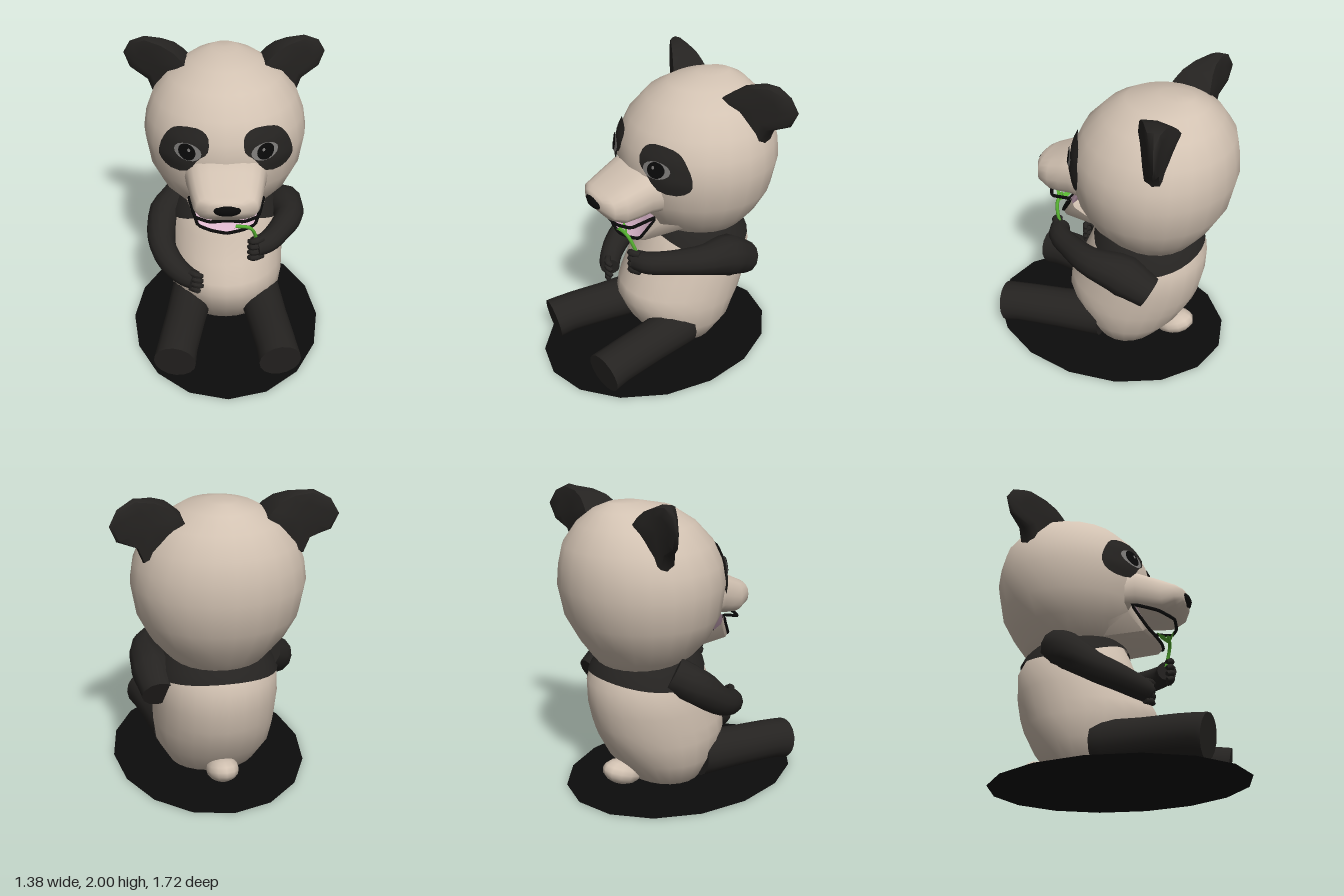
import * as THREE from 'three';
import { toCreasedNormals } from 'three/addons/utils/BufferGeometryUtils.js';

const V = (x, y, z) => new THREE.Vector3(x, y, z);
const mat = (color) => new THREE.MeshStandardMaterial({ color, side: THREE.DoubleSide });
const cream = mat(0xd2c2b2), black = mat(0x252321), shadow = mat(0x0c0c0c), pink = mat(0xdcb6cc);
const grey = mat(0x7c7a78), dark = mat(0x0a0a0a), green = mat(0x55b030);

// Skin a list of equal-length point rows; rows may be closed rings with capped ends
function loft(rows, { closed = true, start = true, end = true } = {}) {
  const n = rows[0].length, pos = [], idx = [];
  rows.forEach((r) => r.forEach((p) => pos.push(p.x, p.y, p.z)));
  for (let i = 0; i < rows.length - 1; i++)
    for (let j = 0; j < (closed ? n : n - 1); j++) {
      const a = i * n + j, b = i * n + ((j + 1) % n);
      idx.push(a, b, a + n, b, b + n, a + n);
    }
  const cap = (i, flip) => {
    const c = rows[i].reduce((s, p) => s.add(p), V(0, 0, 0)).divideScalar(n), k = pos.length / 3;
    pos.push(c.x, c.y, c.z);
    for (let j = 0; j < n; j++) {
      const a = i * n + j, b = i * n + ((j + 1) % n);
      idx.push(...(flip ? [b, a, k] : [a, b, k]));
    }
  };
  if (closed && start) cap(0, true);
  if (closed && end) cap(rows.length - 1, false);
  const g = new THREE.BufferGeometry();
  g.setAttribute('position', new THREE.Float32BufferAttribute(pos, 3));
  g.setIndex(idx);
  return toCreasedNormals(g, 1.0);
}

// Horizontal sections: [y, half width, front z, back z]
const HEAD = [[0.87, 0.27, -0.1, -0.6], [0.96, 0.36, 0.03, -0.67], [1.06, 0.445, 0.12, -0.74],
  [1.21, 0.52, 0.19, -0.82], [1.42, 0.555, 0.22, -0.86], [1.55, 0.535, 0.2, -0.85], [1.68, 0.485, 0.14, -0.825],
  [1.81, 0.38, 0.02, -0.74], [1.9, 0.23, -0.12, -0.65], [1.945, 0.09, -0.33, -0.56]];
const BODY = [[0.01, 0.1, -0.05, -0.3], [0.05, 0.3, 0.08, -0.42], [0.22, 0.395, 0.2, -0.55],
  [0.38, 0.415, 0.27, -0.635], [0.47, 0.415, 0.255, -0.665], [0.6, 0.415, 0.185, -0.69],
  [0.76, 0.4, 0.12, -0.695], [0.87, 0.36, 0.08, -0.64], [0.97, 0.28, 0.03, -0.55]];

function section(rings, y) {
  let i = 0;
  while (i < rings.length - 2 && rings[i + 1][0] < y) i++;
  const t = (y - rings[i][0]) / (rings[i + 1][0] - rings[i][0]);
  return rings[i].map((v, k) => v + (rings[i + 1][k] - v) * t);
}
function surfacePoint(rings, a, y, grow = 0) {
  const [, w, f, b] = section(rings, y), c = f * 0.48 + b * 0.52, cz = Math.cos(a);
  return V((w + grow) * Math.sin(a), y, c + cz * (cz > 0 ? f - c + grow : c - b + grow));
}
const angles = (n) => Array.from({ length: n }, (_, j) => (j / n) * Math.PI * 2);
const blob = (rings) => loft(rings.map(([y]) => angles(24).map((a) => surfacePoint(rings, a, y))));

// Limb along a path of [x, y, z, radius]
function limb(pts, steps = 12, sides = 12) {
  const curve = new THREE.CatmullRomCurve3(pts.map((p) => V(p[0], p[1], p[2])));
  const rows = [];
  for (let i = 0; i <= steps; i++) {
    const u = i / steps, f = u * (pts.length - 1), k = Math.min(Math.floor(f), pts.length - 2);
    const r = THREE.MathUtils.lerp(pts[k][3], pts[k + 1][3], f - k);
    const t = curve.getTangent(u), s = V(0, 1, 0).cross(t).normalize(), n = t.clone().cross(s);
    rows.push(angles(sides).map((a) => curve.getPoint(u)
      .addScaledVector(s, r * Math.cos(a)).addScaledVector(n, r * Math.sin(a))));
  }
  return loft(rows);
}

// Patch laid on the front of the head, outline counter-clockwise in x, y
function facePatch(outline, lift) {
  const c = outline.reduce((s, p) => [s[0] + p[0] / outline.length, s[1] + p[1] / outline.length], [0, 0]);
  return loft([1, 0.75, 0.5, 0.25].map((k) => outline.map(([px, py]) => {
    const x = c[0] + (px - c[0]) * k, y = c[1] + (py - c[1]) * k;
    const w = section(HEAD, y)[1];
    return surfacePoint(HEAD, Math.asin(x / w), y).add(V(lift * 0.4, 0, lift));
  })), { start: false });
}
const oval = (x, y, rx, ry, n = 16) => angles(n).map((a) => [x + rx * Math.cos(a), y + ry * Math.sin(a)]);

export function createModel() {
  const model = new THREE.Group();
  const add = (name, geo, m, parent = model) => {
    const mesh = new THREE.Mesh(geo, m);
    mesh.name = name;
    parent.add(mesh);
    return mesh;
  };

  // Ground disc
  const disc = add('groundDisc', new THREE.CircleGeometry(1, 16), shadow);
  disc.rotation.x = -Math.PI / 2;
  disc.scale.set(0.675, 0.86, 1);

  // Torso, shoulder band and tail
  add('torso', blob(BODY), cream);
  const bandLow = (a) => 0.83 + 0.1 * Math.max(0, Math.cos(a)) ** 2 - 0.05 * Math.sin(a) ** 2;
  add('shoulderBand', loft([0, 0.35, 0.7, 1].map((t) => angles(32).map((a) =>
    surfacePoint(BODY, a, THREE.MathUtils.lerp(bandLow(a), 0.97, t), 0.015))), { start: false }), black);
  const tail = add('tail', new THREE.SphereGeometry(1, 12, 8), cream);
  tail.scale.set(0.11, 0.085, 0.15);
  tail.position.set(0, 0.115, -0.51);
  tail.rotation.x = 0.35;

  // Head and muzzle
  add('head', blob(HEAD), cream);
  const pow = (v) => Math.sign(v) * Math.abs(v) ** 0.7;
  const muzzle = [[0, 0.3, 1.45, 1.13], [0.19, 0.255, 1.44, 1.13], [0.27, 0.24, 1.405, 1.115], [0.36, 0.22, 1.365, 1.105],
    [0.44, 0.195, 1.325, 1.15], [0.48, 0.12, 1.31, 1.2], [0.495, 0.06, 1.295, 1.22]];
  add('muzzle', loft(muzzle.map(([z, w, t, b]) => angles(20).map((a) =>
    V(w * pow(Math.cos(a)), (t + b) / 2 + ((t - b) / 2) * pow(Math.sin(a)), z)))), cream);
  const nose = add('nose', new THREE.SphereGeometry(1, 10, 8), dark);
  nose.scale.set(0.1, 0.047, 0.05);
  nose.position.set(0, 1.252, 0.468);

  // Open mouth: lower jaw, inside and lips
  const lower = [[-0.245, 1.15, 0.17], [-0.19, 0.995, 0.26], [-0.1, 0.968, 0.29], [0, 0.955, 0.305],
    [0.1, 0.968, 0.29], [0.19, 0.995, 0.26], [0.245, 1.15, 0.17]];
  const upper = [[0.205, 1.105, 0.33], [0.11, 1.1, 0.385], [0, 1.12, 0.4], [-0.11, 1.1, 0.385], [-0.205, 1.105, 0.33]];
  const open = { closed: false };
  add('lowerJaw', loft([
    lower.map(([x, y, z]) => V(x * 1.12, 0.95 + (y - 0.95) * 0.3, -0.08)),
    lower.map(([x, y, z]) => V(x * 1.04, 0.935 + (y - 0.95) * 0.8, z - 0.03)),
    lower.map(([x, y, z]) => V(x, y, z))], open), cream);
  add('mouthInside', loft([
    lower.map(([x, y, z]) => V(x, y, z)),
    lower.map(([x, y]) => V(x * 0.97, y * 0.5 + 0.55, 0.2)),
    lower.map(([x]) => V(x, 1.15, 0.17))], open), pink);
  const lipPath = new THREE.CatmullRomCurve3([...lower, ...upper].map((p) => V(...p)), true, 'catmullrom', 0.15);
  add('lips', new THREE.TubeGeometry(lipPath, 60, 0.011, 6, true), dark);

  // Paired parts, mirrored across x = 0
  const earOutline = [[0.3, 1.7], [0.49, 1.6], [0.53, 1.7], [0.65, 1.76], [0.69, 1.86], [0.64, 1.95],
    [0.54, 2.0], [0.42, 1.985], [0.33, 1.95], [0.27, 1.9], [0.22, 1.84]];
  const earRow = (k, side) => earOutline.map(([px, py]) => {
    const x = 0.45 + (px - 0.45) * k, y = 1.82 + (py - 1.82) * k;
    const front = -0.29 - 0.64 * (x - 0.26), back = -0.59 + 0.04 * Math.sin((x - 0.25) * 7);
    return V(x, y, THREE.MathUtils.lerp(back, Math.max(front, back + 0.02), side));
  });
  const patch = new THREE.CatmullRomCurve3([[0.3, 1.63], [0.36, 1.59], [0.41, 1.51], [0.43, 1.4], [0.37, 1.34],
    [0.25, 1.35], [0.175, 1.45], [0.115, 1.5], [0.11, 1.6], [0.16, 1.64]].map(([x, y]) => V(x, y, 0)), true)
    .getPoints(24).slice(0, 24).reverse().map((p) => [p.x, p.y]);
  for (const s of [1, -1]) {
    const side = new THREE.Group();
    side.name = s > 0 ? 'leftSide' : 'rightSide';
    side.scale.x = s;
    model.add(side);
    add('ear', loft([earRow(0.6, 0), earRow(0.92, 0.06), earRow(1, 0.5), earRow(0.92, 0.94), earRow(0.6, 1)]), black, side);
    add('eyePatch', facePatch(patch, 0.014), black, side);
    add('eye', facePatch(oval(0.237, 1.495, 0.088, 0.058), 0.022), grey, side);
    add('iris', facePatch(oval(0.24, 1.498, 0.056, 0.055), 0.027), dark, side);
    add('eyeGlint', facePatch(oval(0.225, 1.515, 0.01, 0.012, 8), 0.032), grey, side);
    add('leg', limb([[0.24, 0.2, -0.05, 0.155], [0.29, 0.185, 0.25, 0.142], [0.34, 0.17, 0.55, 0.138],
      [0.355, 0.152, 0.66, 0.143]], 12, 16), black, side);
  }

  // Raised left arm and lowered right arm, each with four fingers
  add('leftArm', limb([[0.41, 0.7, -0.47, 0.11], [0.42, 0.79, -0.29, 0.145], [0.44, 0.84, -0.07, 0.1],
    [0.36, 0.845, 0.12, 0.08], [0.27, 0.84, 0.25, 0.075], [0.19, 0.835, 0.29, 0.068]], 16), black);
  add('rightArm', limb([[-0.32, 0.87, -0.32, 0.12], [-0.43, 0.78, -0.2, 0.12], [-0.45, 0.65, -0.03, 0.095],
    [-0.38, 0.58, 0.12, 0.085], [-0.28, 0.54, 0.22, 0.075], [-0.22, 0.53, 0.255, 0.068]], 16), black);
  for (let i = 0; i < 4; i++) {
    const yl = 0.9 - i * 0.044, yr = 0.592 - i * 0.043, bend = i === 3 ? 0.03 : 0;
    add('leftFinger', limb([[0.24, yl, 0.29, 0.024], [0.18, yl, 0.325, 0.024], [0.145, yl - 0.015, 0.3, 0.015]], 5, 7), black);
    add('rightFinger', limb([[-0.25, yr, 0.25, 0.024], [-0.2, yr, 0.285, 0.024],
      [-0.162 - bend, yr - 0.015, 0.275, 0.015]], 5, 7), black);
  }

  // Bamboo sprig held to the mouth
  const stem = new THREE.CatmullRomCurve3([V(0.19, 0.86, 0.28), V(0.19, 0.93, 0.3), V(0.15, 1.01, 0.325), V(0.06, 1.03, 0.335)]);
  add('bambooStem', new THREE.TubeGeometry(stem, 12, 0.012, 6), green);
  for (const [z, y] of [[0.39, 1.04], [0.27, 1.045]]) {
    const leaf = [[0.14, 1.01, 0.325], [0.07, 1.035, (z + 0.325) / 2], [0, y, z]];
    add('bambooLeaf', loft([-1, 1].map((k) => leaf.map(([x, py, pz], i) =>
      V(x, py + (i === 1 ? 0.01 * k : 0), pz + (i === 1 ? 0.014 * k : 0)))), open), green);
  }
  return model;
}
